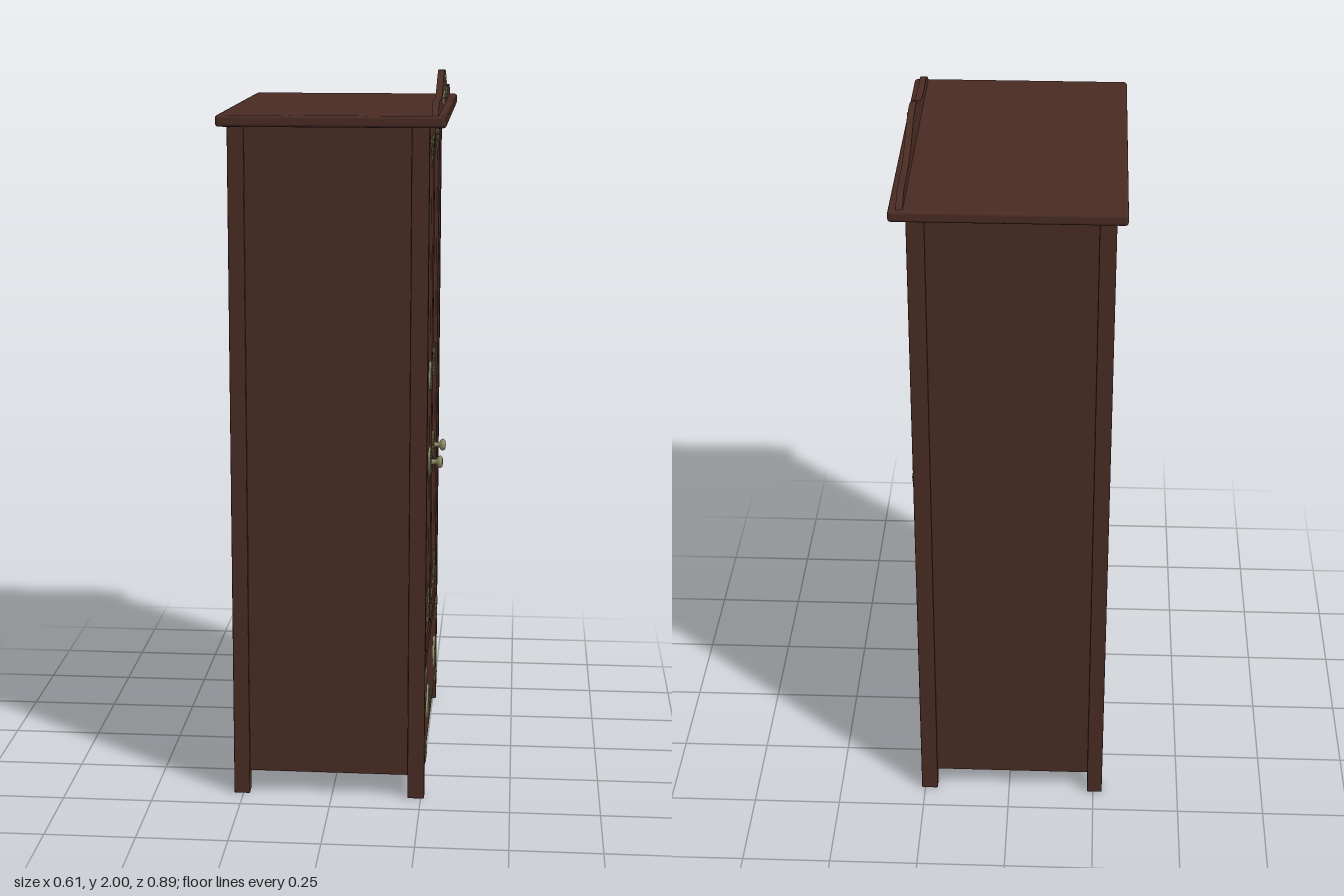
import * as THREE from 'three';
import { RoundedBoxGeometry } from 'three/addons/geometries/RoundedBoxGeometry.js';

export function createModel() {
  const root = new THREE.Group();
  const body = new THREE.Group(); // built facing +z, then turned so the doors face +x
  body.name = 'wardrobe';
  body.rotation.y = Math.PI / 2;
  root.add(body);

  const material = (name, color) => Object.assign(new THREE.MeshStandardMaterial({ color }), { name });
  const wood = material('dark wood', 0x4a2c23);
  const brass = material('aged brass', 0x8f8a64);
  const shade = material('keyhole dark', 0x2b211a);

  function add(parent, name, geometry, mat, x = 0, y = 0, z = 0) {
    const mesh = new THREE.Mesh(geometry, mat);
    mesh.name = name;
    mesh.position.set(x, y, z);
    parent.add(mesh);
    return mesh;
  }
  // Box given by its limits
  function block(name, x0, x1, y0, y1, z0, z1, r = 0) {
    const size = [x1 - x0, y1 - y0, z1 - z0];
    const g = r ? new RoundedBoxGeometry(...size, 2, r) : new THREE.BoxGeometry(...size);
    return add(body, name, g, wood, (x0 + x1) / 2, (y0 + y1) / 2, (z0 + z1) / 2);
  }
  const extrude = (shape, depth, bevel = 0) => new THREE.ExtrudeGeometry(shape, {
    depth, curveSegments: 10, bevelEnabled: bevel > 0, bevelSize: bevel, bevelThickness: bevel, bevelSegments: 1,
  });
  function rect(Type, x0, x1, y0, y1) {
    const s = new Type();
    s.moveTo(x0, y0);
    s.lineTo(x1, y0);
    s.lineTo(x1, y1);
    s.lineTo(x0, y1);
    s.closePath();
    return s;
  }

  // Carcass, legs and top
  block('carcass', -0.413, 0.413, 0.066, 1.875, -0.268, 0.24);
  for (const s of [-1, 1]) {
    for (const [z0, z1] of [[-0.276, -0.232], [0.213, 0.26]]) {
      block('leg', s * 0.4055 - 0.0185, s * 0.4055 + 0.0185, 0, 1.875, z0, z1, 0.003);
    }
  }
  block('topBoard', -0.445, 0.445, 1.873, 1.904, -0.304, 0.304, 0.008);
  block('doorRail', -0.387, 0.387, 0.354, 0.37, 0.23, 0.254);
  block('bottomRail', -0.387, 0.387, 0.066, 0.082, 0.23, 0.254);
  block('drawerFront', -0.385, 0.385, 0.084, 0.352, 0.23, 0.257, 0.003);

  // Curved crest board
  const crest = new THREE.Shape();
  crest.moveTo(-0.438, 1.9);
  crest.lineTo(0.438, 1.9);
  crest.bezierCurveTo(0.42, 1.92, 0.39, 1.937, 0.36, 1.937);
  crest.lineTo(0.25, 1.937);
  crest.bezierCurveTo(0.14, 1.94, 0.1, 2, 0, 2);
  crest.bezierCurveTo(-0.1, 2, -0.14, 1.94, -0.25, 1.937);
  crest.lineTo(-0.36, 1.937);
  crest.bezierCurveTo(-0.39, 1.937, -0.42, 1.92, -0.438, 1.9);
  add(body, 'crestBoard', extrude(crest, 0.018), wood, 0, 0, 0.265);

  // Doors: frame around a sunken panel
  for (const s of [-1, 1]) {
    const cx = s * 0.194;
    const frame = rect(THREE.Shape, cx - 0.191, cx + 0.191, 0.372, 1.872);
    frame.holes.push(rect(THREE.Path, cx - 0.151, cx + 0.151, 0.416, 1.83));
    add(body, 'doorFrame', extrude(frame, 0.018), wood, 0, 0, 0.238);
    block('doorPanel', cx - 0.152, cx + 0.152, 0.415, 1.831, 0.235, 0.25);
  }

  // Ornament pieces: pointed leaf, curl and bead
  function leaf(parent, x, y, angle, length, width) {
    const s = new THREE.Shape();
    s.moveTo(0, 0);
    s.quadraticCurveTo(length * 0.45, -width, length, 0);
    s.quadraticCurveTo(length * 0.45, width, 0, 0);
    add(parent, 'leaf', extrude(s, 0.003, 0.001), brass, x, y, 0).rotation.z = angle;
  }
  function curl(parent, x, y, radius, start, turn) {
    const points = [];
    for (let i = 0; i <= 14; i++) {
      const t = i / 14, r = radius * (1 - 0.72 * t), a = start + turn * t;
      points.push(new THREE.Vector3(x + r * Math.cos(a), y + r * Math.sin(a), 0.002));
    }
    add(parent, 'curl', new THREE.TubeGeometry(new THREE.CatmullRomCurve3(points), 24, 0.0028, 6), brass);
  }
  function bead(parent, x, y, r) {
    add(parent, 'bead', new THREE.SphereGeometry(r, 10, 8), brass, x, y, 0.002).scale.z = 0.5;
  }

  // Corner mount, filling the quadrant right of and above its origin, symmetric on the diagonal
  function cornerMount(x, y, z, quarterTurns) {
    const g = new THREE.Group();
    g.name = 'cornerMount';
    g.position.set(x, y, z);
    g.rotation.z = quarterTurns * Math.PI / 2;
    body.add(g);
    leaf(g, 0.006, 0.006, Math.PI / 4, 0.05, 0.013);
    bead(g, 0.009, 0.009, 0.007);
    bead(g, 0.044, 0.044, 0.006);
    for (const swap of [false, true]) {
      const p = (a, b) => (swap ? [b, a] : [a, b]);
      const turn = (a) => (swap ? Math.PI / 2 - a : a);
      leaf(g, ...p(0.008, 0.008), turn(0.05), 0.04, 0.011);
      leaf(g, ...p(0.04, 0.012), turn(-0.2), 0.042, 0.011);
      leaf(g, ...p(0.04, 0.012), turn(0.5), 0.034, 0.01);
      leaf(g, ...p(0.034, 0.014), turn(1.3), 0.026, 0.009);
      curl(g, ...p(0.05, 0.027), 0.011, turn(-1.6), swap ? -7 : 7);
      curl(g, ...p(0.025, 0.013), 0.009, turn(3.4), swap ? 6 : -6);
      bead(g, ...p(0.07, 0.021), 0.005);
    }
  }
  function mountsAround(x0, x1, y0, y1, z) {
    [[x0, y0], [x1, y0], [x1, y1], [x0, y1]].forEach(([x, y], i) => cornerMount(x, y, z, i));
  }
  for (const s of [-1, 1]) mountsAround(s * 0.194 - 0.148, s * 0.194 + 0.148, 0.419, 1.827, 0.251);
  mountsAround(-0.382, 0.382, 0.088, 0.349, 0.258);

  // Crest mount: a fan of leaves over paired scrolls
  const fan = new THREE.Group();
  fan.name = 'crestMount';
  fan.position.set(0, 1.912, 0.283);
  body.add(fan);
  for (let i = -3; i <= 3; i++) {
    leaf(fan, 0, 0.025, Math.PI / 2 + i * 0.4, 0.048 - Math.abs(i) * 0.003, 0.009);
  }
  bead(fan, 0, 0.024, 0.01);
  leaf(fan, 0, 0.022, -Math.PI / 2, 0.02, 0.012);
  for (const s of [-1, 1]) {
    const aim = (a) => (s > 0 ? a : Math.PI - a);
    curl(fan, s * 0.026, 0.015, 0.013, aim(2.4), -s * 7);
    curl(fan, s * 0.058, 0.022, 0.013, aim(3.6), -s * 7);
    curl(fan, s * 0.08, 0.009, 0.008, aim(1.6), -s * 6);
    leaf(fan, s * 0.03, 0.03, aim(0.45), 0.04, 0.011);
    leaf(fan, s * 0.04, 0.012, aim(-0.15), 0.045, 0.011);
    leaf(fan, s * 0.066, 0.022, aim(-0.1), 0.038, 0.011);
    leaf(fan, s * 0.066, 0.018, aim(-0.5), 0.036, 0.01);
  }

  // Ribbed rosette; the middle is a pull knob or a keyhole
  function rosette(name, x, y, z, r, middle) {
    const g = new THREE.Group();
    g.name = name;
    g.position.set(x, y, z);
    body.add(g);
    add(g, 'backPlate', new THREE.CylinderGeometry(r * 0.95, r, 0.006, 32), brass, 0, 0, 0.003).rotation.x = Math.PI / 2;
    add(g, 'innerRing', new THREE.TorusGeometry(r * 0.44, r * 0.07, 6, 28), brass, 0, 0, 0.006);
    for (let i = 0; i < 20; i++) {
      const a = i * Math.PI / 10;
      const rib = add(g, 'rib', new THREE.SphereGeometry(1, 8, 6), brass, r * 0.74 * Math.cos(a), r * 0.74 * Math.sin(a), 0.006);
      rib.scale.set(r * 0.25, r * 0.095, 0.003);
      rib.rotation.z = a;
    }
    if (middle === 'knob') {
      const profile = [[0.014, 0.005], [0.008, 0.01], [0.007, 0.022], [0.016, 0.028], [0.018, 0.034], [0.013, 0.04], [0, 0.042]];
      const knob = new THREE.LatheGeometry(profile.map(([a, b]) => new THREE.Vector2(a, b)), 24);
      add(g, 'knob', knob, brass).rotation.x = Math.PI / 2;
    } else {
      const size = middle === 'drawer' ? 0.35 : 0.16;
      add(g, 'keyhole', new THREE.CircleGeometry(r * size, 20), shade, 0, 0, 0.0068);
    }
  }
  for (const s of [-1, 1]) {
    rosette('keyPlate', s * 0.106, 1.147, 0.251, 0.043, 'key');
    rosette('doorPull', s * 0.106, 0.897, 0.251, 0.043, 'knob');
    rosette('drawerPlate', s * 0.219, 0.215, 0.257, 0.05, 'drawer');
  }
  return root;
}
